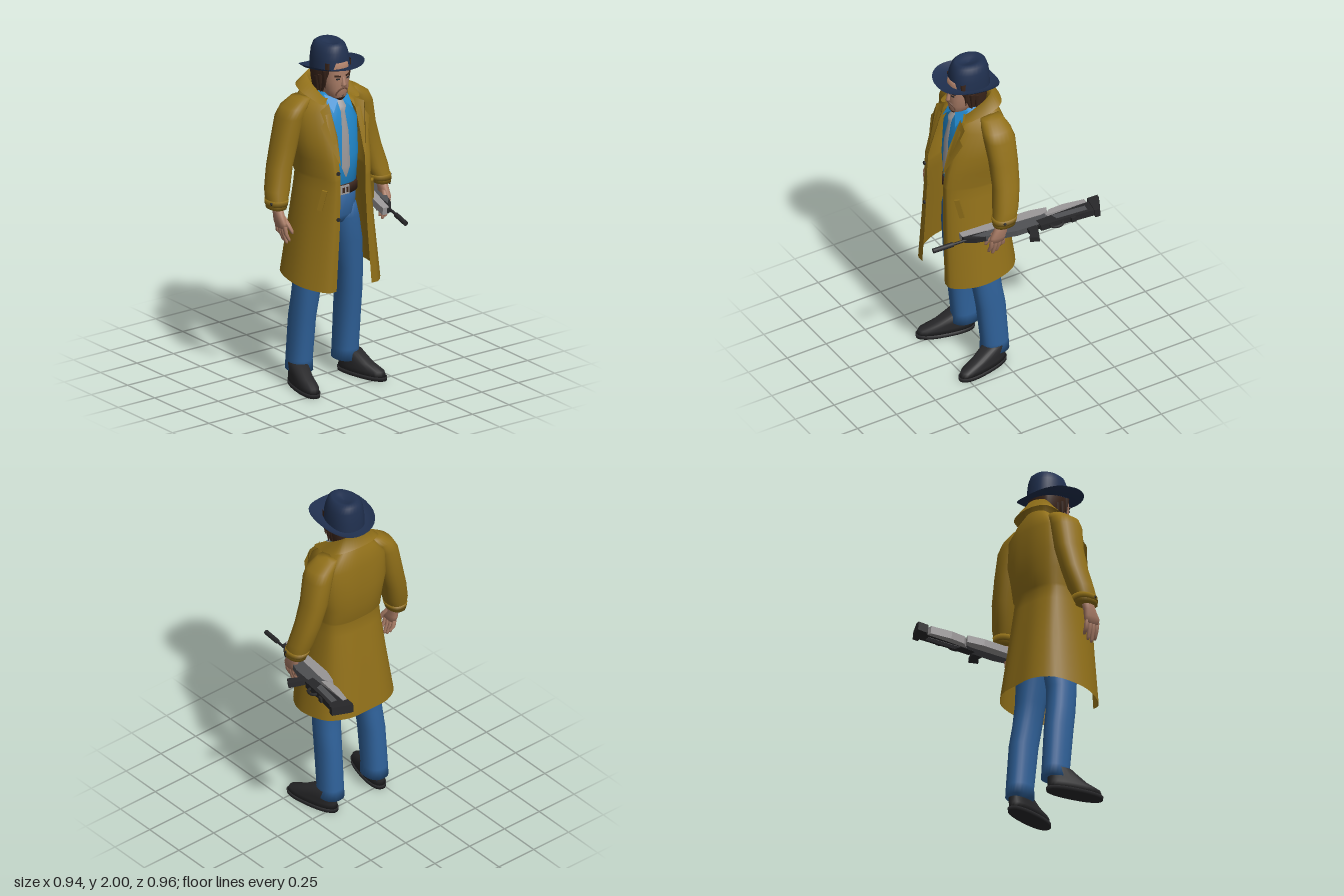
import * as THREE from 'three';

const mat = (name, color, open) => {
  const m = new THREE.MeshStandardMaterial({ color });
  m.name = name;
  if (open) m.side = THREE.DoubleSide;
  return m;
};
const M = {
  coat: mat('coatMustard', 0x917019, true), jeans: mat('jeansBlue', 0x2f6199),
  shirt: mat('shirtBlue', 0x2188cc, true), hat: mat('hatNavy', 0x20304f, true),
  skin: mat('skin', 0xa97c66), brown: mat('darkBrown', 0x3a251b, true),
  stubble: mat('stubble', 0x74503f), black: mat('black', 0x28282a),
  silver: mat('silverGrey', 0x9c999a, true), steel: mat('steelGrey', 0x505154),
};

// Skin a list of equal-length point rings
function loft(rings, closed) {
  const n = rings[0].length, idx = [], w = closed ? n : n - 1;
  for (let i = 0; i < rings.length - 1; i++) for (let j = 0; j < w; j++) {
    const k = (j + 1) % n, a = i * n + j, b = i * n + k, c = a + n, d = b + n;
    idx.push(a, c, b, b, c, d);
  }
  const g = new THREE.BufferGeometry().setFromPoints(rings.flat());
  g.setIndex(idx);
  g.computeVertexNormals();
  return g;
}
const V = (x, y, z) => new THREE.Vector3(x, y, z);
const soft = (t) => Math.sign(t) * Math.abs(t) ** 0.85;
const oval = (x, y, z, rx, rz, n = 24) => Array.from({ length: n }, (_, i) => {
  const a = (i / n) * Math.PI * 2;
  return V(x + rx * soft(Math.cos(a)), y, z + rz * soft(Math.sin(a)));
});
// Closed, capped body from rows of x, y, z, rx, rz going upwards
function body(rows, n) {
  const rings = rows.map((r) => oval(...r, n));
  const cap = ([x, y, z]) => rings[0].map(() => V(x, y, z));
  return loft([cap(rows[0]), ...rings, cap(rows[rows.length - 1])], true);
}
// Cloth open at the front: rows of y, opening, front z, half width, middle z, back z, fall
function wrap(rows) {
  return loft(rows.map(([y, o, zf, w, zm, zb, k = 0]) => {
    const half = [[o, zf], [o + 0.35 * (w - o), zf - 0.005], [w * 0.92, (zm + zf) / 2], [w, zm],
      [w * 0.88, zm * 0.35 + zb * 0.65], [w * 0.5, zb + 0.008]];
    const pts = [...half, [0, zb], ...half.slice().reverse().map(([x, z]) => [-x, z])];
    return new THREE.CatmullRomCurve3(pts.map(([x, z]) => V(x, y - k * z, z))).getPoints(48);
  }), false);
}
// Flat fan of a few corners
function facet(points) {
  const g = new THREE.BufferGeometry().setFromPoints(points.map((p) => V(...p)));
  g.setIndex(points.slice(2).flatMap((_, i) => [0, i + 1, i + 2]));
  g.computeVertexNormals();
  return g;
}
function add(parent, name, geo, material, pos = [0, 0, 0], rot = [0, 0, 0]) {
  const m = new THREE.Mesh(geo, material);
  m.name = name;
  m.position.set(...pos);
  m.rotation.set(...rot);
  parent.add(m);
  return m;
}
const box = (x, y, z) => new THREE.BoxGeometry(x, y, z);

function buildHat(p) {
  const n = 32, cz = 0.118;
  const brim = [0, 0.35, 0.7, 1].map((t) => oval(0, 0, 0, 0.095 + 0.073 * t, 0.112 + 0.07 * t, n).map((v) => {
    const side = (v.x / 0.168) ** 2;
    return V(v.x, 1.85 + 0.007 * t + 0.14 * v.z + 0.03 * side * t * t, v.z + 0.1 + (cz - 0.1) * t);
  }));
  add(p, 'hatBrim', loft(brim, true), M.hat);
  // crown pinched towards the front, dented on top
  const rows = [[1.85, 0.1, 0.118], [1.9, 0.1, 0.116], [1.95, 0.094, 0.109], [1.985, 0.081, 0.098],
    [2, 0.062, 0.08], [1.985, 0.03, 0.05], [1.978, 0, 0]];
  const crown = rows.map(([y, rx, rz], i) => oval(0, 0, 0, rx, rz, n).map((v) => {
    const f = Math.max(0, v.z / 0.118);
    return V(v.x * (1 - 0.07 * i * f), y + (i < 2 ? 0.12 * v.z : 0), v.z + 0.1);
  }));
  add(p, 'hatCrown', loft(crown, true), M.hat);
}

function buildHead(p) {
  add(p, 'neck', body([[0, 1.6, 0.08, 0.06, 0.06], [0, 1.76, 0.1, 0.056, 0.06]]), M.skin);
  add(p, 'head', body([[0, 1.687, 0.175, 0.028, 0.032], [0, 1.70, 0.155, 0.05, 0.065], [0, 1.74, 0.138, 0.067, 0.088],
    [0, 1.79, 0.128, 0.076, 0.1], [0, 1.86, 0.122, 0.08, 0.104], [0, 1.9, 0.12, 0.075, 0.1]]), M.skin);
  add(p, 'hair', wrap([[1.90, 0.07, 0.195, 0.094, 0.1, 0], [1.84, 0.072, 0.19, 0.098, 0.1, -0.002],
    [1.79, 0.077, 0.165, 0.094, 0.09, 0.004], [1.72, 0.07, 0.135, 0.08, 0.08, 0.015]]), M.brown);
  add(p, 'nose', body([[0, 1.768, 0.226, 0.015, 0.02], [0, 1.778, 0.228, 0.013, 0.016], [0, 1.82, 0.222, 0.008, 0.01]], 10), M.skin);
  const stache = new THREE.CatmullRomCurve3([V(-0.036, 1.712, 0.205), V(-0.03, 1.738, 0.215), V(0, 1.756, 0.228),
    V(0.03, 1.738, 0.215), V(0.036, 1.712, 0.205)]);
  add(p, 'moustache', new THREE.TubeGeometry(stache, 16, 0.006, 6), M.stubble);
  add(p, 'goatee', body([[0, 1.68, 0.19, 0.016, 0.02], [0, 1.695, 0.187, 0.032, 0.032], [0, 1.712, 0.195, 0.02, 0.028]], 12), M.brown);
  for (const s of [-1, 1]) {
    add(p, 'eye', box(0.022, 0.008, 0.006), M.black, [s * 0.032, 1.81, 0.221], [0, s * 0.3, 0]);
    add(p, 'eyebrow', box(0.036, 0.009, 0.008), M.brown, [s * 0.034, 1.827, 0.22], [0, s * 0.3, s * 0.15]);
    for (const [x, y, z] of [[0.08, 1.80, 0.165], [0.086, 1.77, 0.13], [0.083, 1.755, 0.1]])
      add(p, 'hairLock', new THREE.ConeGeometry(0.018, 0.11, 6), M.brown, [s * x, y, z], [Math.PI, 0, 0]);
  }
}

function buildOutfit(p) {
  add(p, 'shirt', body([[0, 1.14, 0.105, 0.14, 0.12], [0, 1.35, 0.115, 0.15, 0.122], [0, 1.55, 0.105, 0.15, 0.12],
    [0, 1.65, 0.09, 0.11, 0.1], [0, 1.71, 0.09, 0.065, 0.068]]), M.shirt);
  const tie = [[0.018, 1.685, 0.185], [0.023, 1.645, 0.22], [0.014, 1.615, 0.222], [0.022, 1.5, 0.245],
    [0.029, 1.3, 0.25], [0.001, 1.24, 0.245]];
  add(p, 'tie', loft(tie.map(([h, y, z]) => [V(-h, y, z), V(0, y, z + 0.009), V(h, y, z)]), false), M.silver);
  add(p, 'pelvis', body([[0, 0.95, 0.095, 0.09, 0.09], [0, 1.0, 0.1, 0.14, 0.115], [0, 1.15, 0.105, 0.143, 0.122]]), M.jeans);
  add(p, 'belt', body([[0, 1.132, 0.105, 0.15, 0.13], [0, 1.188, 0.105, 0.148, 0.13]]), M.brown);
  add(p, 'buckle', box(0.062, 0.05, 0.012), M.silver, [0, 1.16, 0.237]);
  add(p, 'buckleInset', box(0.04, 0.03, 0.006), M.brown, [0, 1.16, 0.242]);
  add(p, 'bucklePin', box(0.008, 0.032, 0.006), M.silver, [0, 1.16, 0.245]);

  add(p, 'coat', wrap([[1.74, 0.07, 0.16, 0.1, 0.06, -0.02, 0.4], [1.69, 0.08, 0.185, 0.15, 0.05, -0.045, 0.2],
    [1.62, 0.085, 0.225, 0.215, 0.05, -0.065], [1.47, 0.085, 0.275, 0.225, 0.07, -0.075],
    [1.36, 0.09, 0.305, 0.205, 0.08, -0.065], [1.265, 0.085, 0.315, 0.196, 0.08, -0.052],
    [1.25, 0.085, 0.315, 0.193, 0.08, -0.038], [1.18, 0.085, 0.315, 0.198, 0.085, -0.05],
    [0.95, 0.095, 0.32, 0.228, 0.1, -0.085], [0.655, 0.12, 0.325, 0.272, 0.11, -0.12, 0.13]]), M.coat);
  add(p, 'coatCollar', wrap([[1.71, 0.06, 0.15, 0.085, 0.05, -0.01, 0.3], [1.81, 0.065, 0.17, 0.105, 0.05, -0.015, 0.7],
    [1.735, 0.11, 0.205, 0.165, 0.05, -0.06, 0.3]]), M.coat);
  for (const y of [1.3, 1.03])
    add(p, 'coatButton', new THREE.CylinderGeometry(0.011, 0.011, 0.008, 12), M.black, [-0.105, y, 0.321], [Math.PI / 2, 0, 0]);
  for (const s of [-1, 1]) {
    add(p, 'lapel', facet([[s * 0.085, 1.34, 0.318], [s * 0.168, 1.56, 0.24], [s * 0.135, 1.6, 0.245],
      [s * 0.15, 1.645, 0.215], [s * 0.085, 1.675, 0.205], [s * 0.078, 1.5, 0.276]]), M.coat);
    add(p, 'shirtCollar', facet([[s * 0.014, 1.68, 0.195], [s * 0.078, 1.71, 0.15], [s * 0.068, 1.62, 0.228]]), M.shirt);
    add(p, 'coatPocket', box(0.03, 0.12, 0.014), M.coat, [s * 0.172, 1.14, 0.262], [0, s * 0.85, s * 0.25]);
  }
}

function buildLimbs(p, s) {
  const side = (rows) => body(rows.map(([x, ...r]) => [s * x, ...r]));
  add(p, 'trouserLeg', side([[0.158, 0.085, 0.03, 0.069, 0.083], [0.158, 0.15, 0.03, 0.067, 0.079], [0.155, 0.4, 0.053, 0.066, 0.085],
    [0.148, 0.52, 0.072, 0.069, 0.084], [0.138, 0.65, 0.085, 0.073, 0.085], [0.112, 0.82, 0.092, 0.085, 0.1],
    [0.082, 0.97, 0.1, 0.08, 0.11], [0.08, 1.05, 0.1, 0.06, 0.1]]), M.jeans);

  const shoe = new THREE.Group();
  shoe.name = 'shoe';
  shoe.position.set(s * 0.2, 0, 0.13);
  shoe.rotation.y = s * 0.22;
  p.add(shoe);
  add(shoe, 'shoeSole', body([[0, 0, 0, 0.055, 0.17], [0, 0.022, 0, 0.057, 0.172]]), M.black);
  add(shoe, 'shoeUpper', body([[0, 0.02, 0, 0.052, 0.166], [0, 0.05, -0.004, 0.053, 0.158], [0, 0.08, -0.045, 0.05, 0.118],
    [0, 0.135, -0.088, 0.05, 0.07]]), M.black);
  for (const z of [-0.01, 0.015, 0.04])
    add(shoe, 'shoeLace', box(0.045, 0.006, 0.01), M.steel, [0, 0.093 - z * 0.45, z], [0.5, 0, 0]);

  add(p, 'sleeve', side([[0.358, 1.09, 0.088, 0.049, 0.064], [0.355, 1.12, 0.085, 0.052, 0.066], [0.336, 1.19, 0.066, 0.068, 0.07],
    [0.305, 1.31, 0.045, 0.066, 0.076], [0.265, 1.45, 0.038, 0.07, 0.082], [0.235, 1.59, 0.045, 0.07, 0.09],
    [0.208, 1.645, 0.05, 0.068, 0.082], [0.16, 1.69, 0.05, 0.05, 0.06]]), M.coat);
  add(p, 'cuffStrap', side([[0.356, 1.11, 0.086, 0.055, 0.069], [0.35, 1.14, 0.08, 0.06, 0.071]]), M.coat);
  add(p, 'cuffButton', new THREE.SphereGeometry(0.009, 8, 6), M.black, [s * 0.405, 1.126, 0.11]);

  add(p, 'palm', side([[0.352, 0.985, 0.128, 0.018, 0.046], [0.358, 1.02, 0.124, 0.023, 0.05], [0.358, 1.06, 0.11, 0.024, 0.04],
    [0.358, 1.11, 0.092, 0.027, 0.034]]), M.skin);
  [0.925, 0.9, 0.89, 0.91].forEach((tip, i) => {
    const z = 0.092 + i * 0.024;
    add(p, 'finger', side([[0.328, tip, z + 0.004, 0.006, 0.007], [0.332, tip + 0.012, z + 0.004, 0.01, 0.01],
      [0.348, 0.955, z, 0.012, 0.012], [0.355, 1.0, z, 0.013, 0.012]]), M.skin);
  });
  add(p, 'thumb', side([[0.316, 0.955, 0.18, 0.006, 0.007], [0.32, 0.97, 0.178, 0.011, 0.012], [0.335, 1.01, 0.163, 0.014, 0.014],
    [0.35, 1.055, 0.13, 0.014, 0.016]]), M.skin);
}

// Rifle lying on its side, outlined in x and z
function buildRifle() {
  const g = new THREE.Group();
  g.name = 'rifle';
  g.position.y = 1.03;
  g.rotation.x = 0.11;
  const plate = (name, pts, t, m) => {
    const shape = new THREE.Shape(pts.map(([x, z]) => new THREE.Vector2(x, -z)));
    const geo = new THREE.ExtrudeGeometry(shape, { depth: t, bevelEnabled: false });
    add(g, name, geo.translate(0, 0, -t / 2).rotateX(-Math.PI / 2), m);
  };
  plate('buttPad', [[0.357, -0.481], [0.38, -0.478], [0.469, -0.43], [0.462, -0.4], [0.44, -0.405], [0.347, -0.42]], 0.05, M.black);
  plate('stock', [[0.37, -0.425], [0.452, -0.405], [0.412, -0.24], [0.385, -0.1], [0.33, -0.1]], 0.038, M.black);
  plate('cheekRest', [[0.342, -0.404], [0.37, -0.405], [0.325, -0.165], [0.296, -0.203], [0.304, -0.287]], 0.046, M.silver);
  plate('stockSide', [[0.39, -0.38], [0.425, -0.375], [0.385, -0.2], [0.345, -0.19]], 0.043, M.steel);
  plate('receiver', [[0.27, -0.203], [0.3, -0.19], [0.305, -0.15], [0.25, 0.1], [0.2, 0.295], [0.16, 0.295], [0.18, 0.19], [0.235, -0.11]], 0.042, M.silver);
  plate('receiverSide', [[0.305, -0.17], [0.375, -0.17], [0.34, 0.03], [0.27, 0.2], [0.225, 0.25], [0.25, 0.1]], 0.036, M.steel);
  plate('foreEnd', [[0.22, 0.15], [0.275, 0.19], [0.255, 0.24], [0.215, 0.295], [0.19, 0.295]], 0.032, M.black);
  plate('grip', [[0.35, -0.085], [0.385, -0.08], [0.46, -0.045], [0.43, 0.002], [0.385, -0.03], [0.34, -0.03]], 0.03, M.black);
  plate('stockLug', [[0.39, -0.3], [0.437, -0.295], [0.432, -0.27], [0.39, -0.265]], 0.03, M.black);
  plate('triggerBlock', [[0.355, -0.15], [0.385, -0.13], [0.38, -0.1], [0.345, -0.08]], 0.026, M.black);
  const guard = new THREE.TorusGeometry(0.027, 0.008, 6, 16).scale(1, 1.3, 1).rotateX(Math.PI / 2);
  add(g, 'triggerGuard', guard, M.black, [0.402, 0, -0.19], [0, -0.2, 0]);
  const rod = (name, x0, z0, x1, z1, r) => {
    const len = Math.hypot(x1 - x0, z1 - z0);
    add(g, name, new THREE.CylinderGeometry(r, r, len, 10).rotateX(Math.PI / 2), M.black,
      [(x0 + x1) / 2, 0, (z0 + z1) / 2], [0, Math.atan2(x1 - x0, z1 - z0), 0]);
  };
  rod('barrel', 0.24, 0.14, 0.2, 0.38, 0.008);
  rod('muzzle', 0.203, 0.36, 0.183, 0.478, 0.014);
  return g;
}

export function createModel() {
  const model = new THREE.Group();
  model.name = 'manInTrenchCoat';
  const figure = new THREE.Group();
  figure.name = 'figure';
  figure.position.x = -0.06;
  model.add(figure);
  buildHat(figure);
  buildHead(figure);
  buildOutfit(figure);
  for (const s of [-1, 1]) buildLimbs(figure, s);
  model.add(buildRifle());
  return model;
}
